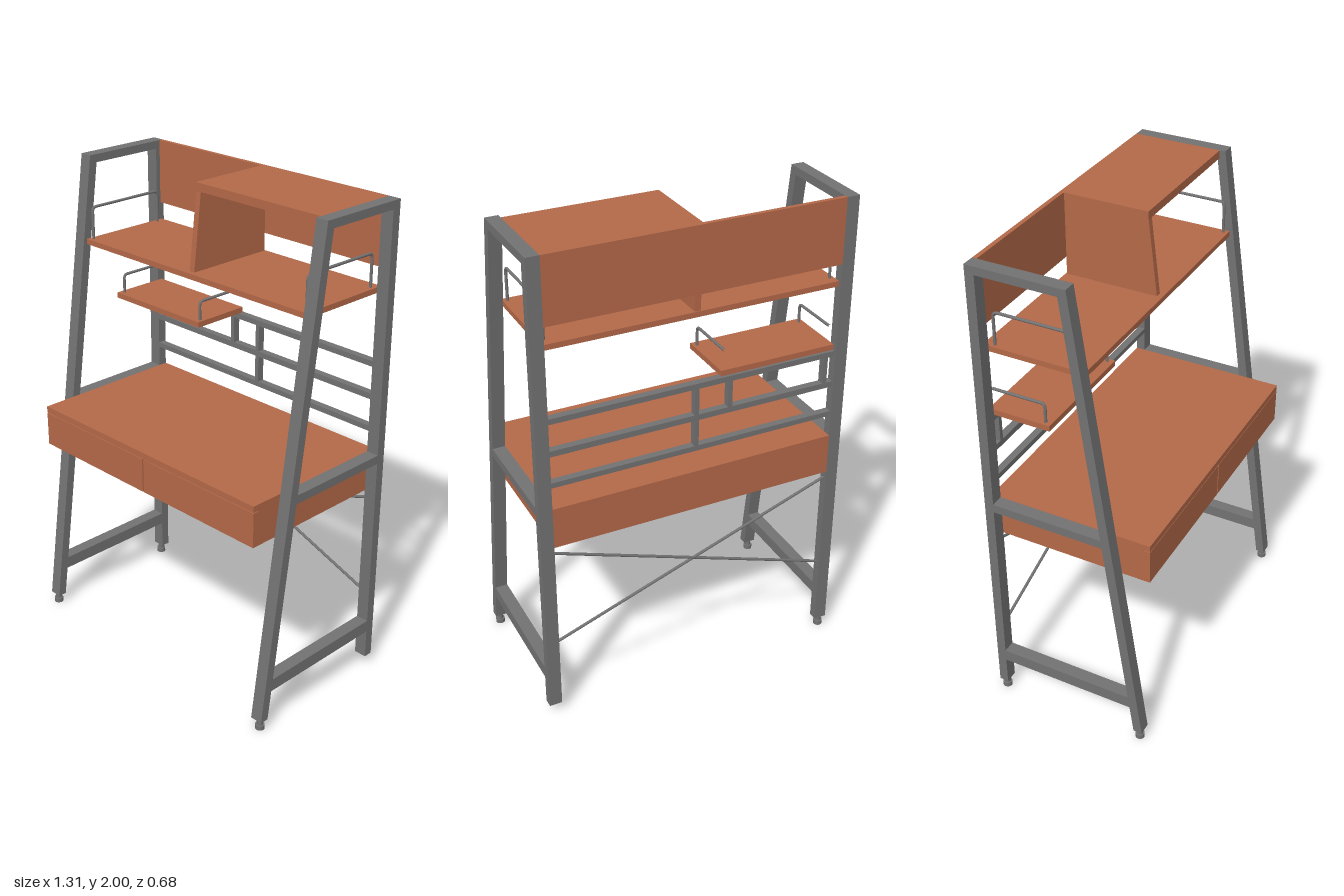
import * as THREE from 'three';

const wood = new THREE.MeshStandardMaterial({ color: 0xb36848 });
wood.name = 'warm wood';
const steel = new THREE.MeshStandardMaterial({ color: 0x727272 });
steel.name = 'grey steel';

const BACK = -0.338, POST_FRONT = -0.3, INNER = 0.6, OUTER = 0.653;

// z of the sloping front leg's faces at height y
const legOuter = (y) => 0.055 + (2 - y) * 0.141;
const legInner = (y) => legOuter(y) - 0.037;

export function createModel() {
  const model = new THREE.Group();
  model.name = 'ladderDesk';

  const add = (name, geometry, material, parent = model) => {
    const mesh = new THREE.Mesh(geometry, material);
    mesh.name = name;
    parent.add(mesh);
    return mesh;
  };
  // Box given by its limits on each axis
  const box = (name, material, [x0, x1], [y0, y1], [z0, z1], parent) =>
    add(name, new THREE.BoxGeometry(x1 - x0, y1 - y0, z1 - z0), material, parent)
      .position.set((x0 + x1) / 2, (y0 + y1) / 2, (z0 + z1) / 2);
  // Side outline of (z, y) points, extruded from x0 to x1
  const slab = (name, material, points, x0, x1, parent) => {
    const shape = new THREE.Shape(points.map(([z, y]) => new THREE.Vector2(z, y)));
    const geometry = new THREE.ExtrudeGeometry(shape, { depth: x1 - x0, bevelEnabled: false });
    geometry.rotateY(-Math.PI / 2).translate(x1, 0, 0);
    return add(name, geometry, material, parent);
  };
  // Bent wire with rounded corners, in the plane at x
  const wire = (name, x, points) => {
    const path = new THREE.CurvePath();
    const p = points.map(([z, y]) => new THREE.Vector3(x, y, z));
    let start = p[0];
    for (let i = 1; i < p.length - 1; i++) {
      const before = p[i].clone().add(p[i - 1].clone().sub(p[i]).setLength(0.018));
      const after = p[i].clone().add(p[i + 1].clone().sub(p[i]).setLength(0.018));
      path.add(new THREE.LineCurve3(start, before));
      path.add(new THREE.QuadraticBezierCurve3(before, p[i], after));
      start = after;
    }
    path.add(new THREE.LineCurve3(start, p[p.length - 1]));
    add(name, new THREE.TubeGeometry(path, 64, 0.0058, 10, false), steel);
  };

  // Side frames: upright rear post, sloping front leg, three cross bars
  for (const side of [-1, 1]) {
    const frame = new THREE.Group();
    frame.name = side > 0 ? 'leftFrame' : 'rightFrame';
    model.add(frame);
    const x0 = side > 0 ? INNER : -OUTER, x1 = side > 0 ? OUTER : -INNER;
    box('rearPost', steel, [x0, x1], [0.045, 2], [BACK, POST_FRONT], frame);
    slab('frontLeg', steel, [
      [legInner(0.045), 0.045], [legOuter(0.045), 0.045], [legOuter(2), 2], [legInner(2), 2],
    ], x0, x1, frame);
    const bars = [['lowerBar', 0.17, 0.222], ['deskBar', 0.952, 0.988], ['topBar', 1.967, 2]];
    for (const [name, y0, y1] of bars) {
      slab(name, steel, [
        [POST_FRONT, y0], [legInner(y0), y0], [legInner(y1), y1], [POST_FRONT, y1],
      ], x0, x1, frame);
    }
    // Levelling feet (the left rear post has none)
    for (const z of side > 0 ? [0.311] : [0.311, -0.318]) {
      add('footStem', new THREE.CylinderGeometry(0.013, 0.013, 0.027, 20), steel, frame)
        .position.set(side * 0.629, 0.0325, z);
      add('footPad', new THREE.CylinderGeometry(0.019, 0.019, 0.02, 20), steel, frame)
        .position.set(side * 0.629, 0.01, z);
    }
  }

  // Desk: carcass, top with overhang, two drawer fronts with a fine gap
  box('deskBody', wood, [-INNER, INNER], [0.815, 0.962], [BACK, 0.312]);
  box('deskTop', wood, [-INNER, INNER], [0.962, 0.988], [BACK, 0.338]);
  box('rightDrawerFront', wood, [-INNER, -0.003], [0.815, 0.959], [0.312, 0.338]);
  box('leftDrawerFront', wood, [0.003, INNER], [0.815, 0.959], [0.312, 0.338]);

  // Crossed rear braces
  for (const side of [-1, 1]) {
    const brace = add('crossBrace',
      new THREE.CylinderGeometry(0.006, 0.006, Math.hypot(1.2, 0.43), 10), steel);
    brace.position.set(0, 0.563, -0.319);
    brace.rotation.z = side * Math.atan2(1.2, 0.43);
  }

  // Rear rails and the short uprights between them
  const railZ = [-0.33, POST_FRONT];
  for (const y of [[1.345, 1.368], [1.21, 1.234], [1.076, 1.098]])
    box('rearRail', steel, [-INNER, INNER], y, railZ);
  box('upperUpright', steel, [-0.009, 0.009], [1.234, 1.345], railZ);
  box('lowerUpright', steel, [-0.009, 0.009], [1.098, 1.21], railZ);
  for (const x of [-0.563, -0.142])
    box('shelfHanger', steel, [x - 0.009, x + 0.009], [1.234, 1.345], railZ);

  // Small shelf with a wire guard at each end
  box('smallShelf', wood, [-INNER, -0.105], [1.369, 1.392], [-0.32, -0.066]);
  for (const x of [-0.582, -0.122])
    wire('smallShelfGuard', x, [[-0.091, 1.392], [-0.091, 1.47], [-0.31, 1.47]]);

  // Long upper shelf with a wire guard at each end
  box('upperShelf', wood, [-INNER, INNER], [1.64, 1.662], [-0.325, 0.088]);
  for (const x of [-0.582, 0.582])
    wire('upperShelfGuard', x, [[-0.284, 1.662], [-0.284, 1.794], [0.067, 1.794], [0.067, 1.662]]);

  // Back panel, cubby top and its sloping divider
  box('backPanel', wood, [-INNER, INNER], [1.735, 2], [BACK, -0.32]);
  box('cubbyTop', wood, [-0.016, INNER], [1.967, 2], [-0.32, 0.031]);
  slab('cubbyDivider', wood, [
    [-0.32, 1.662], [0.066, 1.662], [0.031, 1.967], [-0.32, 1.967],
  ], -0.014, 0.011);

  return model;
}
